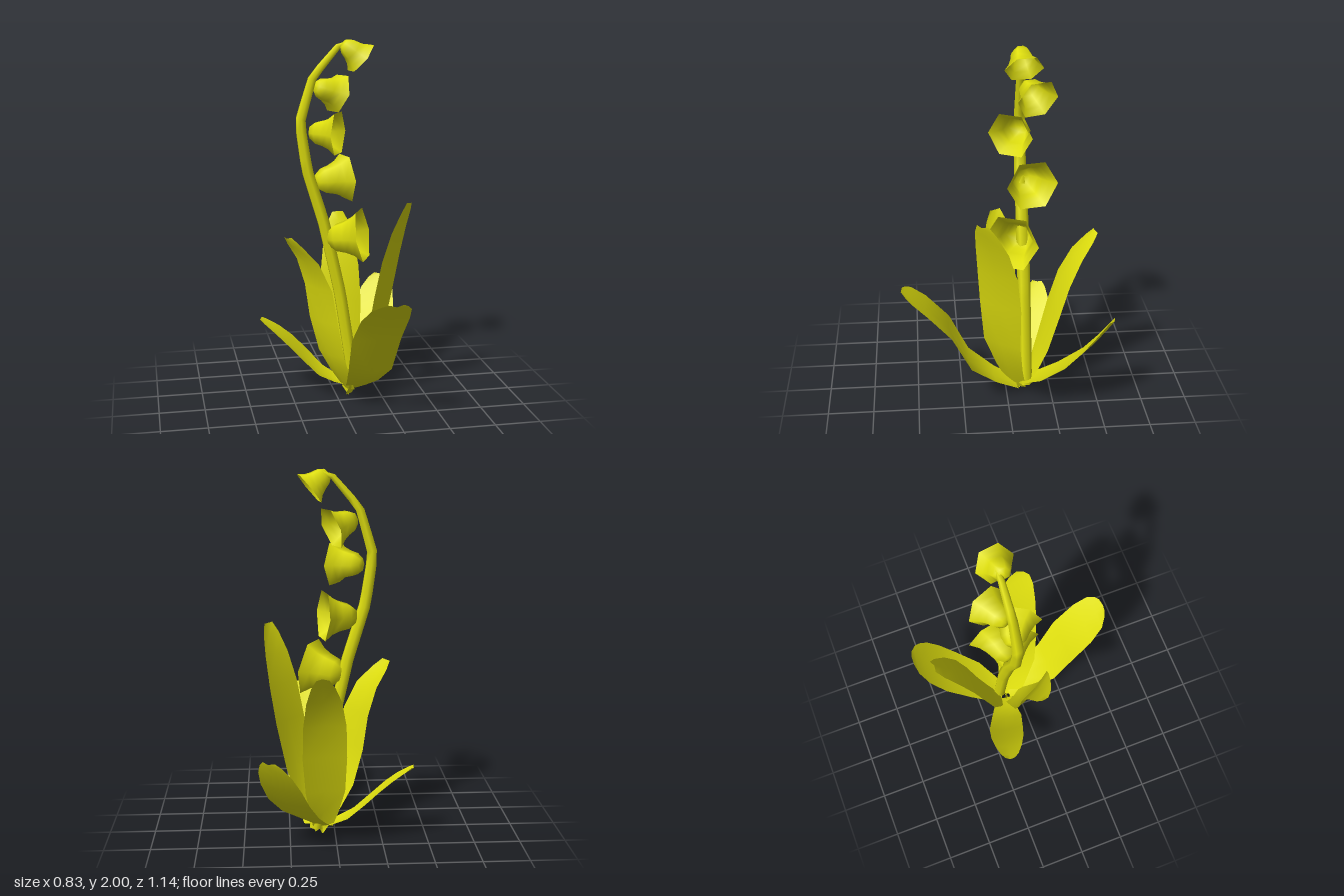
import * as THREE from 'three';

const plantYellow = new THREE.MeshStandardMaterial({ color: 0xdfdf0e, side: THREE.DoubleSide });
plantYellow.name = 'plantYellow';

const toPoints = (list) => list.map((p) => new THREE.Vector3(...p));

function addMesh(parent, name, geometry) {
  const mesh = new THREE.Mesh(geometry, plantYellow);
  mesh.name = name;
  parent.add(mesh);
  return mesh;
}

// Arching stem: a six-sided tube with straight runs between bends, tapered towards the tip
function stemGeometry() {
  const curve = new THREE.CatmullRomCurve3(toPoints([
    [0.11, 0.05, -0.11], [0.025, 0.6, -0.105], [-0.065, 1.0, -0.1], [-0.158, 1.3, -0.095],
    [-0.195, 1.56, -0.095], [-0.125, 1.8, -0.095], [0.03, 1.98, -0.095], [0.08, 1.98, -0.095],
  ]), false, 'catmullrom', 0.05);
  const rings = 28, sides = 6;
  const geometry = new THREE.TubeGeometry(curve, rings, 0.036, sides);
  const pos = geometry.attributes.position;
  const v = new THREE.Vector3();
  for (let i = 0; i < pos.count; i++) {
    const t = Math.floor(i / (sides + 1)) / rings;
    const centre = curve.getPointAt(t);
    v.fromBufferAttribute(pos, i).sub(centre).multiplyScalar(1 - 0.6 * t ** 4).add(centre);
    pos.setXYZ(i, v.x, v.y, v.z);
  }
  return geometry;
}

// Leaf blade: cupped cross-sections swept along a curve; [position, width fraction]
const leafRows = [[0, 0.45], [0.12, 0.66], [0.28, 0.9], [0.48, 1], [0.66, 0.96], [0.82, 0.78], [0.94, 0.52], [1, 0.28]];

function leafGeometry(path, width, sideways, rows = leafRows) {
  const curve = new THREE.CatmullRomCurve3(toPoints(path));
  const along = curve.getPoint(1).sub(curve.getPoint(0));
  const side = sideways
    ? new THREE.Vector3(...sideways).normalize()
    : new THREE.Vector3(along.z, 0, -along.x).normalize();
  const positions = [], index = [];
  rows.forEach(([t, w], r) => {
    const centre = curve.getPoint(t);
    const cup = new THREE.Vector3().crossVectors(curve.getTangent(t), side).normalize();
    for (let c = -1; c <= 1; c++) {
      const p = centre.clone().addScaledVector(side, c * w * width / 2);
      p.addScaledVector(cup, c === 0 ? -0.006 : 0.006);
      positions.push(p.x, p.y, p.z);
    }
    if (r === 0) return;
    for (let c = 0; c < 2; c++) {
      const a = (r - 1) * 3 + c, b = a + 3;
      index.push(a, a + 1, b, a + 1, b + 1, b);
    }
  });
  const geometry = new THREE.BufferGeometry();
  geometry.setAttribute('position', new THREE.Float32BufferAttribute(positions, 3));
  geometry.setIndex(index);
  geometry.computeVertexNormals();
  return geometry;
}

// Bell flower: six-sided flared cup, rim at the origin and opening towards +x
function bellGeometry() {
  const profile = [[0, -1.25], [0.28, -1.22], [0.5, -0.95], [0.6, -0.6], [0.74, -0.3], [1, 0]];
  const geometry = new THREE.LatheGeometry(profile.map(([r, y]) => new THREE.Vector2(r, y)), 6);
  return geometry.rotateZ(-Math.PI / 2);
}

export function createModel() {
  const model = new THREE.Group();
  model.name = 'bellFlowerPlant';

  addMesh(model, 'stem', stemGeometry());

  // Six leaves fanning out from the base
  const leaves = [
    { name: 'frontLeaf', width: 0.27, side: [1, 0, -0.03],
      path: [[0.11, 0.05, -0.06], [0.13, 0.21, 0.19], [0.145, 0.47, 0.33], [0.168, 0.65, 0.5], [0.185, 0.71, 0.57]] },
    { name: 'leftFrontLeaf', width: 0.26,
      path: [[0.08, 0.02, -0.06], [0.19, 0.33, 0.03], [0.25, 0.65, 0.05], [0.3, 0.92, 0.08], [0.36, 1.15, 0.145]] },
    { name: 'leftBackLeaf', width: 0.255,
      path: [[0.08, 0.06, -0.1], [0.185, 0.155, -0.22], [0.265, 0.3, -0.375], [0.32, 0.46, -0.485], [0.36, 0.575, -0.55]] },
    { name: 'backLeaf', width: 0.24, side: [1, 0, -0.15],
      path: [[0.07, 0.06, -0.12], [0.06, 0.26, -0.195], [0.065, 0.52, -0.265], [0.07, 0.78, -0.35], [0.085, 0.985, -0.48]] },
    { name: 'rightBackLeaf', width: 0.2,
      path: [[0.06, 0.06, -0.1], [-0.07, 0.12, -0.13], [-0.19, 0.24, -0.175], [-0.29, 0.34, -0.2], [-0.41, 0.43, -0.23]] },
    { name: 'rightFrontLeaf', width: 0.24, side: [0.5, 0, 0.85],
      path: [[0.06, 0.05, -0.05], [-0.04, 0.25, 0.01], [-0.1, 0.5, 0.03], [-0.15, 0.76, 0.03], [-0.29, 0.96, 0.035]] },
  ];
  for (const leaf of leaves) addMesh(model, leaf.name, leafGeometry(leaf.path, leaf.width, leaf.side));

  // Small pointed sheath at the foot of the stem
  addMesh(model, 'rootTip', leafGeometry([[0.07, 0, -0.075], [0.065, 0.05, -0.08], [0.06, 0.11, -0.085]],
    0.06, [1, 0, 0], [[0, 0.08], [0.5, 1], [1, 0.1]]));

  // Five bells hanging beside the stem: rim centre, radius, pitch and yaw in degrees
  const bells = [
    { at: [0.135, 1.9, -0.085], radius: 0.102, pitch: -39, yaw: 8 },
    { at: [0.025, 1.705, -0.17], radius: 0.117, pitch: -18, yaw: 22 },
    { at: [0, 1.505, -0.028], radius: 0.128, pitch: 0, yaw: -29 },
    { at: [0.065, 1.245, -0.142], radius: 0.142, pitch: 4, yaw: 12 },
    { at: [0.135, 0.945, -0.02], radius: 0.158, pitch: 9, yaw: -25 },
  ];
  const bell = bellGeometry();
  bells.forEach(({ at, radius, pitch, yaw }, i) => {
    const mesh = addMesh(model, `bell${i + 1}`, bell);
    mesh.position.set(...at);
    mesh.scale.setScalar(radius);
    mesh.rotation.set(0, THREE.MathUtils.degToRad(yaw), THREE.MathUtils.degToRad(pitch), 'YZX');
  });

  return model;
}
